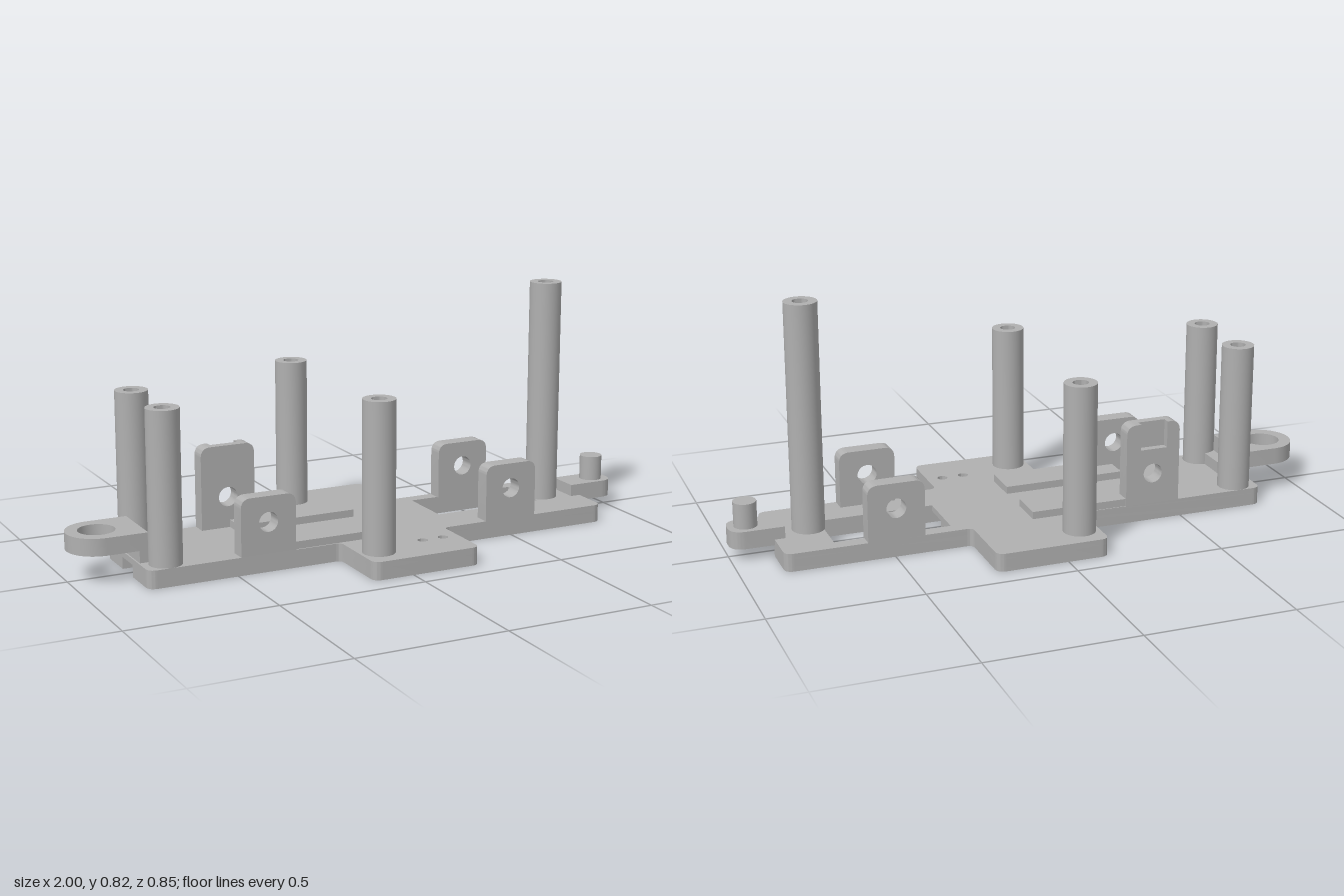
import * as THREE from 'three';
import { toCreasedNormals } from 'three/addons/utils/BufferGeometryUtils.js';

const grey = new THREE.MeshStandardMaterial({ color: 0xb0b0b0 });
grey.name = 'plain grey';

// Closed outline from [x, y, cornerRadius] points
function outline(points) {
  const shape = new THREE.Shape();
  const n = points.length;
  points.forEach(([x, y, r = 0], i) => {
    const toward = ([px, py]) => {
      const d = Math.hypot(px - x, py - y);
      return [x + ((px - x) * r) / d, y + ((py - y) * r) / d];
    };
    const a = toward(points[(i + n - 1) % n]);
    const b = toward(points[(i + 1) % n]);
    if (i) shape.lineTo(...a);
    else shape.moveTo(...a);
    if (r) shape.quadraticCurveTo(x, y, ...b);
  });
  shape.closePath();
  return shape;
}

const circle = (x, y, r) => new THREE.Path().absarc(x, y, r, 0, Math.PI * 2, true);

function extrude(shape, depth) {
  const g = new THREE.ExtrudeGeometry(shape, { depth, bevelEnabled: false, curveSegments: 16 });
  return toCreasedNormals(g, 0.6);
}

// Horizontal slab; shape coordinates are (x, -z)
const slab = (shape, y0, y1) => extrude(shape, y1 - y0).rotateX(-Math.PI / 2).translate(0, y0, 0);

export function createModel() {
  const model = new THREE.Group();
  const add = (name, geometry) => {
    const mesh = new THREE.Mesh(geometry, grey);
    mesh.name = name;
    model.add(mesh);
  };
  const box = (name, x0, x1, y0, y1, z0, z1) =>
    add(name, new THREE.BoxGeometry(x1 - x0, y1 - y0, z1 - z0)
      .translate((x0 + x1) / 2, (y0 + y1) / 2, (z0 + z1) / 2));

  // Cross-shaped base: thin deck over two runners, leaving a groove beneath
  const L = -0.8, R = 0.86, W = 0.19, AL = -0.14, AR = 0.24, AW = 0.425, G = 0.047, c = 0.03;
  const half = [
    [R, W, c], [AR, W, 0.02], [AR, AW, c], [AL, AW, c], [AL, W, 0.02], [L, W, c],
  ];
  const other = half.map(([x, y, r]) => [x, -y, r]).reverse();
  const drill = (shape) => shape.holes.push(circle(0.11, -0.28, 0.017), circle(0.185, -0.28, 0.017));

  const deck = outline([...half, ...other]);
  deck.holes.push(outline([[0.3, -G], [0.3, 0.145], [0.69, 0.145], [0.69, -G]]));
  drill(deck);
  add('deck', slab(deck, 0.04, 0.06));
  add('backRunner', slab(outline([
    ...half, [L, G], [0.3, G], [0.3, 0.145], [0.69, 0.145], [0.69, G], [R, G],
  ]), 0, 0.04));
  const front = outline([...other, [R, -G], [L, -G]]);
  drill(front);
  add('frontRunner', slab(front, 0, 0.04));

  // Raised pads
  box('backPad', -0.39, 0.03, 0.06, 0.085, -0.187, -0.06);
  box('frontPad', -0.39, 0.03, 0.06, 0.085, 0.057, 0.185);

  // Upright lugs with a cross hole
  const lug = (name, x0, x1, top, z0, z1, slot) => {
    const notch = slot ? [[-0.35, top], [-0.35, 0.25], [-0.445, 0.25], [-0.445, top]] : [];
    const shape = outline([[x0, 0.06], [x1, 0.06], [x1, top, 0.035], ...notch, [x0, top, 0.035]]);
    shape.holes.push(circle((x0 + x1) / 2, 0.165, 0.033));
    add(name, extrude(shape, z1 - z0).translate(0, 0, z0));
  };
  lug('frontRightLug', -0.49, -0.3, 0.25, 0.136, W);
  lug('frontLeftLug', 0.4, 0.59, 0.25, 0.136, W);
  lug('backLeftLug', 0.4, 0.59, 0.25, -W, -0.136);
  lug('tallLugInner', -0.49, -0.3, 0.34, -0.165, -0.136);
  lug('tallLugSlotted', -0.49, -0.3, 0.34, -W, -0.165, true);

  // Hollow-topped posts
  const post = (x, z, top) => {
    const r = 0.054, bore = 0.026;
    const points = [[0, 0.06], [r, 0.06], [r, top], [bore, top], [bore, top - 0.2], [0, top - 0.2]]
      .map(([px, py]) => new THREE.Vector2(px, py));
    add('post', toCreasedNormals(new THREE.LatheGeometry(points, 32), 0.6).translate(x, 0, z));
  };
  for (const s of [-1, 1]) {
    post(-0.723, s * 0.136, 0.56);
    post(-0.075, s * 0.328, 0.56);
  }
  post(0.735, 0, 0.82);

  // Ring eyelet on its raised step
  box('eyeletStep', -0.795, -0.723, 0.06, 0.1, -0.1, 0.1);
  const eyelet = new THREE.Shape();
  eyelet.moveTo(-0.765, -0.1);
  eyelet.lineTo(-0.765, 0.1);
  eyelet.lineTo(-0.9, 0.1);
  eyelet.absarc(-0.9, 0, 0.1, Math.PI / 2, Math.PI * 1.5, false);
  eyelet.holes.push(circle(-0.9, 0, 0.06));
  add('eyelet', slab(eyelet, 0.1, 0.157));

  // Hitch tongue with pin
  const tongue = outline([
    [0.825, -0.056], [1, -0.056, 0.05], [1, 0.056, 0.05], [0.825, 0.056],
  ]);
  add('hitchTongue', slab(tongue, 0.041, 0.1));
  add('hitchPin', new THREE.CylinderGeometry(0.038, 0.038, 0.085, 32).translate(0.94, 0.1415, 0));

  return model;
}
